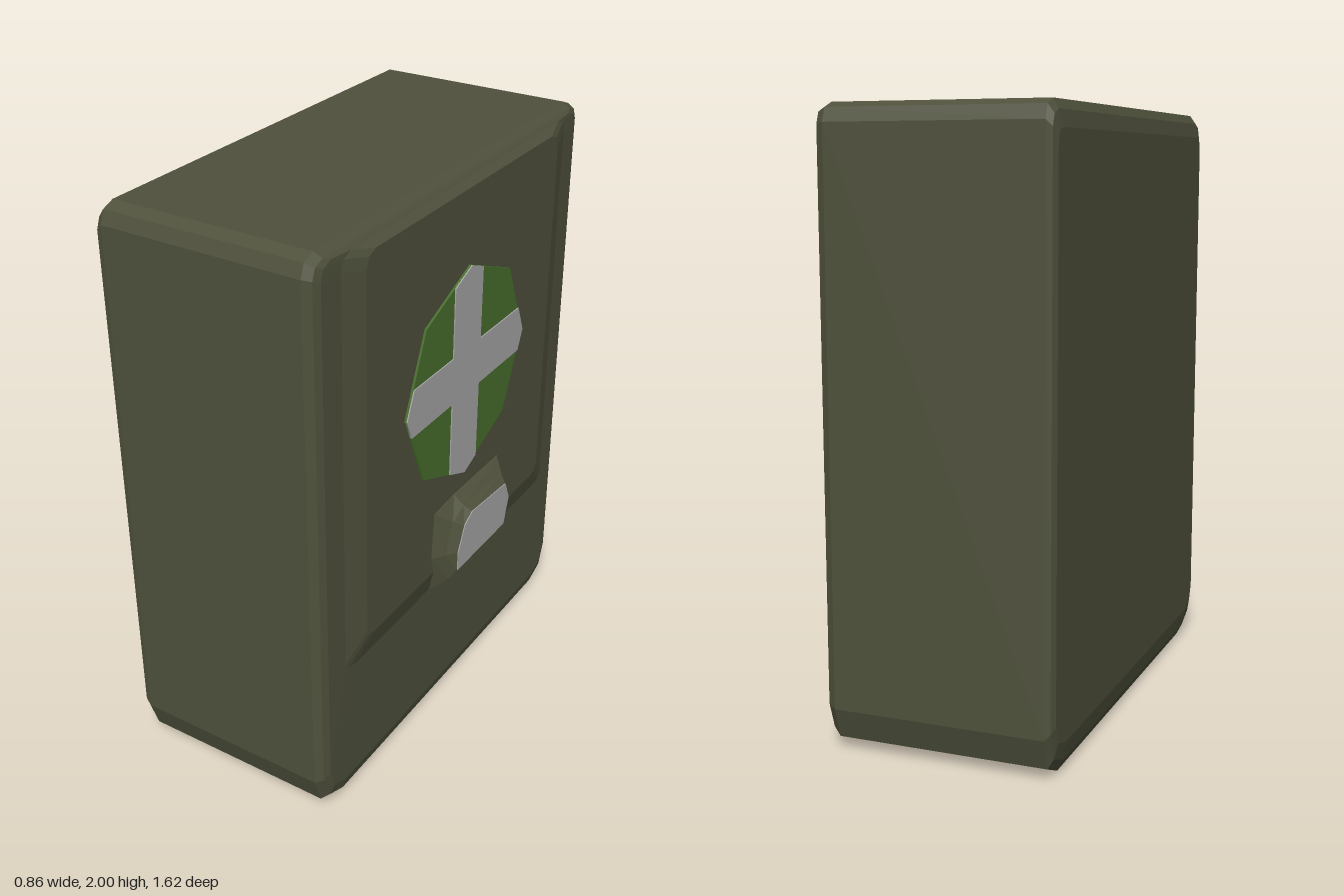
import * as THREE from 'three';

const olive = new THREE.MeshStandardMaterial({ color: 0x4f513c });
olive.name = 'olive casing';
const green = new THREE.MeshStandardMaterial({ color: 0x486e2d });
green.name = 'badge green';
const grey = new THREE.MeshStandardMaterial({ color: 0xa8a8a8 });
grey.name = 'light grey';

// Faceted loft along x. Each ring is { x, pts }, pts being [z, y] pairs,
// counter-clockwise as seen from +x.
function loft(rings, capStart, capEnd) {
  const pos = [];
  const n = rings[0].pts.length;
  const at = (r, j) => [r.x, r.pts[j % n][1], r.pts[j % n][0]];
  for (let i = 0; i < rings.length - 1; i++) {
    for (let j = 0; j < n; j++) {
      const a = at(rings[i], j), b = at(rings[i], j + 1);
      const c = at(rings[i + 1], j + 1), d = at(rings[i + 1], j);
      pos.push(...a, ...b, ...c, ...a, ...c, ...d);
    }
  }
  const cap = (r, flip) => {
    for (let j = 1; j < n - 1; j++) {
      const a = at(r, 0), b = at(r, j), c = at(r, j + 1);
      pos.push(...a, ...(flip ? c : b), ...(flip ? b : c));
    }
  };
  if (capStart) cap(rings[0], true);
  if (capEnd) cap(rings[rings.length - 1], false);
  const g = new THREE.BufferGeometry();
  g.setAttribute('position', new THREE.Float32BufferAttribute(pos, 3));
  g.computeVertexNormals();
  return g;
}

// Rectangle with softly broken corners; the bottom corners are cut wider.
function section(x, hz, lo, hi, top, botZ, botY) {
  const k = 0.28;
  const corner = (sz, y, sy, cz, cy) => [
    [sz * hz, y - sy * cy],
    [sz * (hz - k * cz), y - sy * k * cy],
    [sz * (hz - cz), y],
  ];
  return {
    x,
    pts: [
      ...corner(1, lo, -1, botZ, botY),
      ...corner(-1, lo, -1, botZ, botY).reverse(),
      ...corner(-1, hi, 1, top, top),
      ...corner(1, hi, 1, top, top).reverse(),
    ],
  };
}

// Thin flat plate on the +x side, outlined by [z, y] pairs.
function plate(points, x, depth) {
  const shape = new THREE.Shape(points.map(([z, y]) => new THREE.Vector2(-z, y)));
  const g = new THREE.ExtrudeGeometry(shape, { depth, bevelEnabled: false });
  g.rotateY(Math.PI / 2);
  g.translate(x, 0, 0);
  return g;
}

export function createModel() {
  const group = new THREE.Group();
  group.name = 'medicalBox';
  const add = (name, geometry, material) => {
    const mesh = new THREE.Mesh(geometry, material);
    mesh.name = name;
    group.add(mesh);
  };

  // Casing: bevelled box with a slightly raised panel on its +x side
  add('casing', loft([
    section(-0.43, 0.785, 0.1, 1.92, 0.04, 0.08, 0.08),
    section(-0.42, 0.805, 0.04, 1.97, 0.05, 0.11, 0.12),
    section(-0.4, 0.81, 0, 2, 0.06, 0.12, 0.14),
    section(0.295, 0.81, 0, 2, 0.06, 0.12, 0.14),
    section(0.322, 0.795, 0.03, 1.985, 0.05, 0.11, 0.12),
    section(0.332, 0.77, 0.07, 1.975, 0.05, 0.09, 0.1),
    section(0.336, 0.68, 0.53, 1.97, 0.05, 0.06, 0.03),
    section(0.36, 0.59, 0.62, 1.95, 0.05, 0.05, 0.03),
  ], true, true), olive);

  // Latch: sloping irregular block with a pale front face
  const base = [[0.16, 0.53], [0.2, 0.68], [0.2, 0.88], [0.05, 0.88],
    [-0.27, 0.88], [-0.29, 0.72], [-0.24, 0.53]];
  const shoulder = [[0.145, 0.59], [0.165, 0.7], [0.12, 0.81], [0.05, 0.84],
    [-0.22, 0.825], [-0.255, 0.73], [-0.22, 0.59]];
  const tip = [[0.13, 0.63], [0.13, 0.7], [0.09, 0.79], [0.04, 0.82],
    [-0.2, 0.8], [-0.23, 0.73], [-0.2, 0.63]];
  const ccw = (pts) => pts.slice().reverse();
  add('latch', loft([
    { x: 0.335, pts: ccw(base) },
    { x: 0.362, pts: ccw(base.map(([z, y], i) => [
      THREE.MathUtils.lerp(z, shoulder[i][0], 0.3),
      THREE.MathUtils.lerp(y, shoulder[i][1], 0.3)])) },
    { x: 0.4, pts: ccw(shoulder) },
    { x: 0.427, pts: ccw(tip) },
  ], false, true), olive);
  add('latchFace', plate(tip, 0.426, 0.004), grey);

  // Round badge: eight-sided disc
  const cy = 1.315, r = 0.38;
  const octagon = [];
  for (let i = 0; i < 8; i++) {
    const a = (i * Math.PI) / 4;
    octagon.push([r * Math.cos(a), cy + r * Math.sin(a)]);
  }
  add('badgeDisc', plate(octagon, 0.359, 0.009), green);

  // Cross, trimmed to the outline of the disc
  const slope = Math.tan(Math.PI / 8);
  const reach = (offset) => r - Math.abs(offset) * slope;
  const [z0, z1, y0, y1] = [-0.075, 0.1, 1.245, 1.41];
  add('badgeCross', plate([
    [z1, y0], [reach(y0 - cy), y0], [r, cy], [reach(y1 - cy), y1],
    [z1, y1], [z1, cy + reach(z1)], [0, cy + r], [z0, cy + reach(z0)],
    [z0, y1], [-reach(y1 - cy), y1], [-r, cy], [-reach(y0 - cy), y0],
    [z0, y0], [z0, cy - reach(z0)], [0, cy - r], [z1, cy - reach(z1)],
  ], 0.364, 0.008), grey);

  return group;
}
